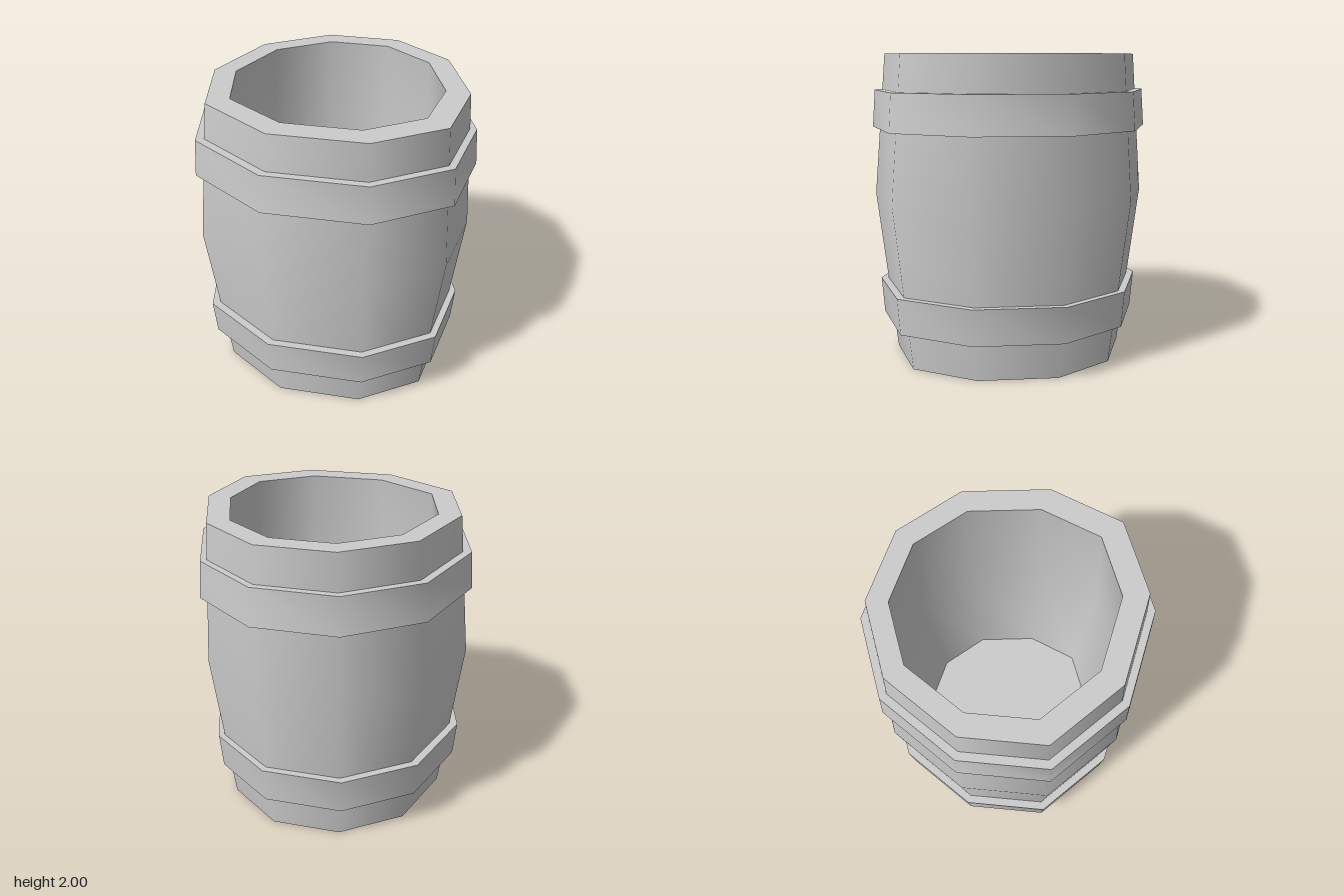
import * as THREE from 'three';
import { toCreasedNormals } from 'three/addons/utils/BufferGeometryUtils.js';

// Slightly irregular ten-sided outline [x, z], ordered from +x towards +z
const OUTLINE = [
  [0.915, -0.09], [0.77, 0.49], [0.40, 0.88], [-0.14, 0.88], [-0.68, 0.53],
  [-0.92, -0.02], [-0.72, -0.54], [-0.24, -0.88], [0.30, -0.88], [0.74, -0.58],
];

// Skins rings of [scale, y, xShift, zShift]; a scale of 0 closes to a point
function loft(rings) {
  const n = OUTLINE.length;
  const pos = [];
  const point = (r, j) => {
    const [s, y, dx = 0, dz = 0] = r;
    const [x, z] = OUTLINE[j % n];
    return [x * s + dx, y, z * s + dz];
  };
  for (let i = 0; i < rings.length - 1; i++) {
    const lo = rings[i], hi = rings[i + 1];
    for (let j = 0; j < n; j++) {
      const a = point(lo, j), b = point(lo, j + 1);
      const c = point(hi, j + 1), d = point(hi, j);
      if (hi[0] > 0) pos.push(...a, ...d, ...c);
      if (lo[0] > 0) pos.push(...a, ...c, ...b);
    }
  }
  const geo = new THREE.BufferGeometry();
  geo.setAttribute('position', new THREE.Float32BufferAttribute(pos, 3));
  return toCreasedNormals(geo, 0.85);
}

export function createModel() {
  const group = new THREE.Group();
  const material = new THREE.MeshStandardMaterial({ color: 0xcccccc });
  const add = (name, rings) => {
    const mesh = new THREE.Mesh(loft(rings), material);
    mesh.name = name;
    group.add(mesh);
  };

  // Bulging wall: bottom edge, outside, rim, inside
  add('barrelWall', [
    [0.69, 0.10, 0, -0.01],
    [0.69, 0, 0, -0.01],
    [0.85, 0, -0.007],
    [0.99, 1.08, -0.008],
    [0.905, 1.995, 0.012],
    [0.742, 1.995, 0.017, -0.015],
    [0.83, 1.08, 0.005, -0.012],
    [0.68, 0.12, 0.005, -0.012],
  ]);

  // Recessed bottom board
  add('barrelBottom', [
    [0, 0.10, 0, -0.01],
    [0.70, 0.10, 0, -0.01],
    [0.70, 0.12, 0, -0.01],
    [0, 0.12, 0, -0.01],
  ]);

  // Two hoops, each following the slope of the wall
  const hoop = (name, y0, s0, y1, s1, dx) => add(name, [
    [s0 - 0.09, y0, dx],
    [s0, y0, dx],
    [s1, y1, dx],
    [s1 - 0.09, y1, dx],
  ]);
  hoop('lowerHoop', 0.25, 0.946, 0.49, 0.967, -0.015);
  hoop('upperHoop', 1.525, 1.0, 1.765, 0.98, 0);

  return group;
}
